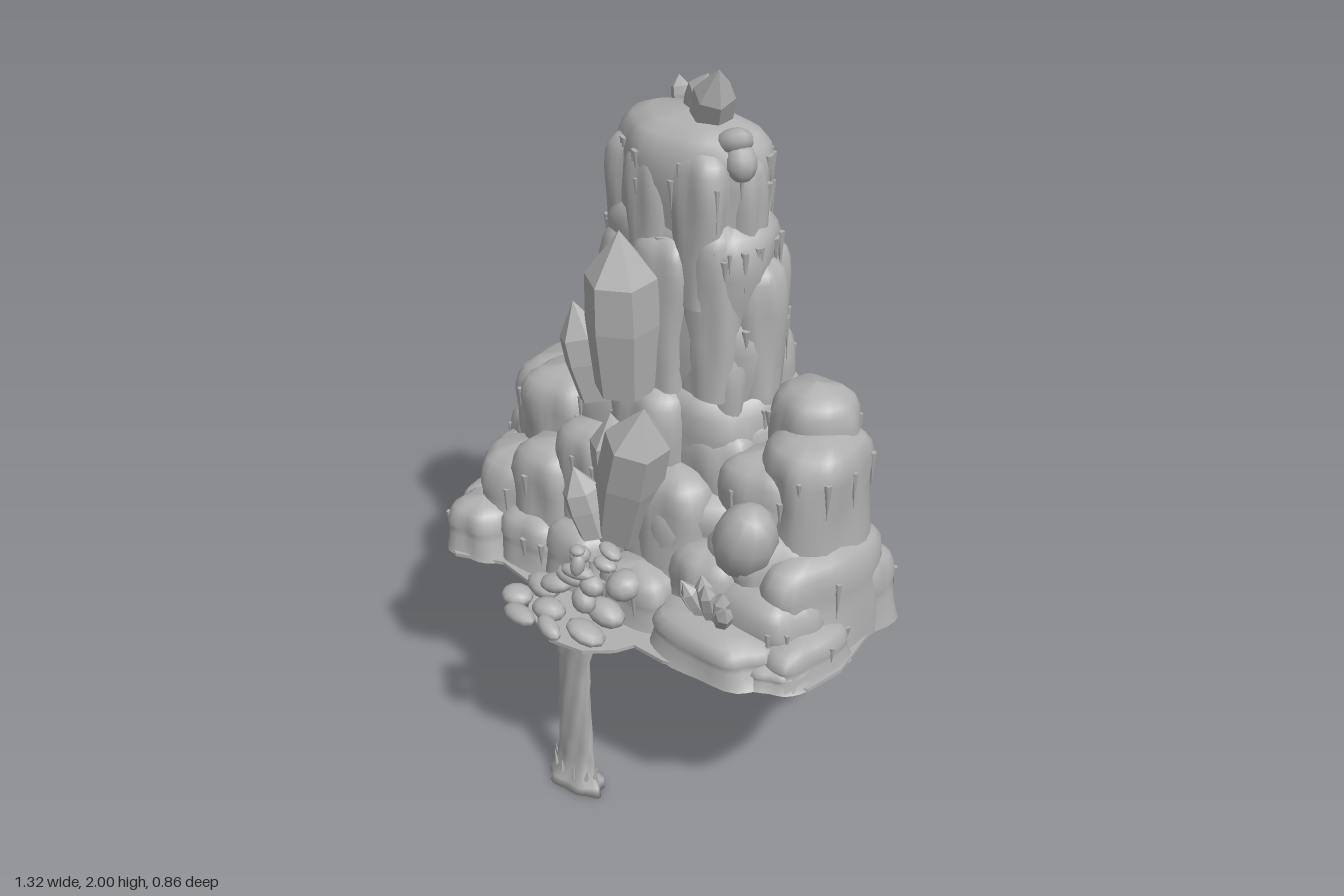
import * as THREE from 'three';
import { mergeGeometries } from 'three/addons/utils/BufferGeometryUtils.js';

const BASE = 0.535;

export function createModel() {
  const model = new THREE.Group();
  const stone = new THREE.MeshStandardMaterial({ color: 0xb0b0b0, side: THREE.DoubleSide });
  stone.name = 'grey stone';
  let seed = 7;
  const rand = (a = 0, b = 1) => {
    seed = (seed * 16807) % 2147483647;
    return a + (b - a) * (seed / 2147483647);
  };
  const add = (name, geo, parent = model) => {
    const mesh = new THREE.Mesh(geo, stone);
    mesh.name = name;
    parent.add(mesh);
    return mesh;
  };
  const group = (name) => {
    const g = new THREE.Group();
    g.name = name;
    model.add(g);
    return g;
  };

  // Lumpy column: rings stacked along a wall, closed by a rounded cap
  function loft(rings, sides, radius) {
    const pos = [], idx = [];
    rings.forEach(([r, y], i) => {
      for (let j = 0; j < sides; j++) {
        const a = (j / sides) * Math.PI * 2;
        const [x, z] = radius(a, y);
        pos.push(x * r, y, z * r);
        if (i === 0) continue;
        const n = (j + 1) % sides, lo = (i - 1) * sides, hi = i * sides;
        idx.push(lo + j, hi + j, lo + n, lo + n, hi + j, hi + n);
      }
    });
    const geo = new THREE.BufferGeometry();
    geo.setAttribute('position', new THREE.Float32BufferAttribute(pos, 3));
    geo.setIndex(idx);
    geo.computeVertexNormals();
    return geo;
  }

  const icicles = [];
  const mountain = group('mountain');
  const footed = [1.07, 1.02, 0.99, 0.95, 0.93], overhung = [0.88, 0.88, 0.9, 0.93, 0.97];
  function rock(name, x, z, rx, rz, y0, y1, drips = 4) {
    const p = rand(0, 6), q = rand(0, 6), h = y1 - y0, cap = Math.min(h * 0.45, 0.1);
    const radius = (a, y) => {
      const k = 1 + 0.05 * Math.sin(3 * a + p + y * 9) + 0.04 * Math.sin(5 * a + q - y * 16)
        + 0.02 * Math.sin(8 * a + p + q);
      const n = Math.pow(Math.abs(Math.cos(a)) ** 2.5 + Math.abs(Math.sin(a)) ** 2.5, -1 / 2.5);
      return [Math.cos(a) * n * k * rx, Math.sin(a) * n * k * rz];
    };
    // rocks on the ground spread at the foot, higher ones swell into a rim
    const wall = h - cap, flare = y0 > BASE ? overhung : footed;
    const rings = flare.map((r, i) => [r, wall * [0, 0.2, 0.4, 0.65, 0.85][i]]);
    rings.push([0.97, wall], [0.91, wall + cap * 0.4], [0.8, wall + cap * 0.65],
      [0.56, wall + cap * 0.87], [0, h]);
    add(name, loft(rings, 32, radius), mountain).position.set(x, y0, z);
    // drips hang from the shoulder of the rock
    for (let i = 0; i < drips; i++) {
      const a = rand(0, Math.PI * 2), [dx, dz] = radius(a, wall);
      const len = Math.min(rand(0.05, 0.13), wall * 0.8);
      icicles.push(new THREE.ConeGeometry(rand(0.006, 0.012), len, 5).rotateX(Math.PI)
        .translate(x + dx * 0.96, y0 + wall + 0.015 - len / 2, z + dz * 0.96));
    }
  }

  // Central peak: tiers ringed by bulging buttresses
  const tiers = [ // x, z, rx, rz, bottom, top, buttresses
    [0.03, -0.115, 0.235, 0.15, 1.4, 1.86, 7],
    [0.035, -0.13, 0.265, 0.175, 1.15, 1.65, 8],
    [0.0, -0.15, 0.31, 0.185, 0.95, 1.43, 8],
    [-0.01, -0.14, 0.335, 0.215, 0.7, 1.2, 9],
    [-0.01, -0.12, 0.42, 0.25, BASE, 0.94, 10],
  ];
  for (const [x, z, rx, rz, y0, y1, n] of tiers) {
    rock('peak tier', x, z, rx * 0.92, rz * 0.92, y0, y1, 18);
    for (let i = 0; i < n; i++) {
      const a = ((i + rand(-0.2, 0.2)) / n) * Math.PI * 2;
      const s = rand(0.3, 0.4);
      rock('peak buttress', x + Math.cos(a) * rx * 0.66, z + Math.sin(a) * rz * 0.68,
        rx * s, rz * s * 1.15, y0, y1 - rand(0.02, 0.13), 4);
    }
  }

  // Side shoulders, back cliffs and front foothills, all standing on the base
  const shoulders = [ // x, z, rx, rz, top
    [0.4, -0.18, 0.12, 0.1, 1.21], [0.455, -0.13, 0.125, 0.15, 1.12], [0.34, -0.07, 0.12, 0.12, 1.04],
    [0.5, -0.1, 0.11, 0.21, 0.84], [0.38, -0.1, 0.17, 0.22, 0.88], [0.52, -0.23, 0.095, 0.1, 0.76],
    [0.45, 0.05, 0.15, 0.11, 0.75], [0.57, 0.04, 0.075, 0.14, 0.65], [0.28, 0.06, 0.11, 0.11, 0.8],
    [0.33, -0.27, 0.17, 0.095, 0.84],
    [-0.42, -0.12, 0.135, 0.14, 1.03], [-0.34, -0.05, 0.13, 0.13, 1.05], [-0.49, -0.14, 0.12, 0.15, 0.86],
    [-0.51, -0.05, 0.1, 0.13, 0.78], [-0.58, -0.08, 0.07, 0.13, 0.65], [-0.52, -0.26, 0.1, 0.075, 0.7],
    [-0.36, -0.25, 0.17, 0.085, 0.82], [-0.41, 0.08, 0.12, 0.12, 0.83], [-0.45, 0.19, 0.095, 0.095, 0.69],
    [-0.27, 0.08, 0.12, 0.11, 0.9], [-0.29, 0.15, 0.11, 0.08, 0.7],
    [-0.13, -0.28, 0.15, 0.085, 0.87], [0.07, -0.3, 0.16, 0.09, 0.88], [0.07, -0.34, 0.12, 0.075, 0.74],
    [0.22, -0.3, 0.14, 0.085, 0.77],
    [-0.13, 0.05, 0.12, 0.11, 1.0], [0.12, 0.04, 0.13, 0.1, 0.96],
    [-0.12, 0.14, 0.11, 0.08, 0.73], [0.1, 0.15, 0.12, 0.08, 0.7],
  ];
  for (const [x, z, rx, rz, top] of shoulders) rock('shoulder rock', x, z, rx, rz, BASE, top);
  rock('low front mound', 0.37, 0.17, 0.19, 0.095, BASE, 0.66, 0);
  rock('low right mound', 0.55, 0.1, 0.085, 0.1, BASE, 0.6, 0);
  rock('low left mound', -0.57, 0.04, 0.075, 0.1, BASE, 0.62, 0);

  // Flat underside with a tongue reaching over the waterfall
  const outline = [[-0.66, -0.05], [-0.65, -0.16], [-0.6, -0.32], [-0.5, -0.35], [-0.2, -0.35],
    [-0.05, -0.41], [0.07, -0.43], [0.2, -0.4], [0.45, -0.36], [0.59, -0.3], [0.62, -0.15], [0.66, 0],
    [0.65, 0.12], [0.52, 0.21], [0.3, 0.28], [0.2, 0.28], [0.18, 0.33], [0.12, 0.39], [0.02, 0.41],
    [-0.11, 0.36], [-0.2, 0.26], [-0.33, 0.24], [-0.46, 0.3], [-0.54, 0.25], [-0.58, 0.14]];
  const slab = new THREE.Shape(outline.map(([x, z]) => new THREE.Vector2(x, -z)));
  add('base slab', new THREE.ExtrudeGeometry(slab, { depth: 0.01, bevelEnabled: false })
    .rotateX(-Math.PI / 2).translate(0, BASE, 0));

  // Waterfall with a splash foot
  const fall = group('waterfall');
  const stream = [[0, 0], [1.55, 0], [1.45, 0.025], [1.1, 0.05], [1, 0.1], [0.97, 0.14], [0.92, 0.18],
    [0.9, 0.24], [0.86, 0.3], [0.85, 0.36], [0.88, 0.42], [1.03, 0.46], [1.05, 0.5], [1.08, 0.54]];
  add('falling water', loft(stream, 32, (a, y) => {
    const k = 1 + 0.07 * Math.sin(7 * a + y * 24) + 0.06 * Math.sin(4 * a - y * 45);
    return [Math.cos(a) * 0.06 * k, Math.sin(a) * (y < 0.05 ? 0.033 : 0.027) * k];
  }), fall).position.z = 0.3;
  for (let i = 0; i < 10; i++) {
    const a = (i / 10) * Math.PI * 2;
    const drop = add('splash spike', new THREE.ConeGeometry(0.01, rand(0.04, 0.1), 5), fall);
    drop.position.set(Math.cos(a) * 0.07, 0.05, 0.3 + Math.sin(a) * 0.033);
    drop.rotation.z = -Math.cos(a) * 0.25;
  }

  // Rounded boulders
  function boulder(name, parent, [x, y, z, sx, sy, sz], tilt) {
    const m = add(name, new THREE.SphereGeometry(1, 10, 7), parent);
    m.position.set(x, y, z);
    m.scale.set(sx, sy, sz);
    m.rotation.set(rand(-0.2, 0.2), rand(-0.4, 0.4), tilt);
  }
  boulder('leaning boulder', mountain, [0.39, 0.85, 0.07, 0.085, 0.12, 0.085], -0.35);
  boulder('summit boulder', mountain, [0.19, 1.82, -0.09, 0.06, 0.035, 0.045], 0.5);
  boulder('summit boulder', mountain, [0.22, 1.78, -0.08, 0.045, 0.05, 0.04], 0.2);

  // Loose flat stones piled around the spring
  const pile = group('spring stones');
  const stones = [ // x, y, z, half sizes
    [-0.17, 0.56, 0.34, 0.045, 0.025, 0.04], [-0.1, 0.56, 0.4, 0.06, 0.024, 0.032],
    [0.0, 0.56, 0.39, 0.05, 0.022, 0.025], [0.09, 0.565, 0.345, 0.06, 0.025, 0.045],
    [-0.05, 0.57, 0.34, 0.05, 0.03, 0.04], [-0.13, 0.58, 0.28, 0.06, 0.03, 0.04],
    [0.08, 0.58, 0.26, 0.06, 0.035, 0.04], [-0.07, 0.62, 0.29, 0.05, 0.025, 0.035],
    [0.04, 0.62, 0.3, 0.04, 0.035, 0.03], [-0.02, 0.66, 0.28, 0.05, 0.025, 0.03],
    [0.06, 0.67, 0.29, 0.035, 0.03, 0.03], [0.02, 0.7, 0.3, 0.05, 0.02, 0.025],
    [0.03, 0.73, 0.31, 0.02, 0.035, 0.02], [0.09, 0.74, 0.27, 0.035, 0.018, 0.025],
    [0.03, 0.775, 0.31, 0.025, 0.014, 0.02], [0.09, 0.77, 0.25, 0.04, 0.016, 0.025],
    [-0.03, 0.7, 0.24, 0.025, 0.025, 0.03], [0.11, 0.66, 0.22, 0.05, 0.04, 0.05],
  ];
  for (const s of stones) boulder('stone', pile, s, rand(-0.25, 0.25));

  // Faceted crystals, each from a foot point to a tip
  const crystals = group('crystals');
  function crystal(name, foot, tip, r, shoulder = 0.66) {
    const a = new THREE.Vector3(...foot), d = new THREE.Vector3(...tip).sub(a), h = d.length();
    const pts = [[0, 0], [0.82, 0], [1, shoulder * 0.6], [0.96, shoulder], [0, 1]]
      .map(([u, v]) => new THREE.Vector2(u * r, v * h));
    const geo = new THREE.LatheGeometry(pts, 6).toNonIndexed();
    geo.computeVertexNormals();
    const m = add(name, geo, crystals);
    m.position.copy(a);
    m.quaternion.setFromUnitVectors(new THREE.Vector3(0, 1, 0), d.normalize());
  }
  crystal('great crystal', [-0.01, 1.15, 0.085], [0, 1.6, 0.115], 0.098, 0.72);
  crystal('left crystal', [-0.13, 1.07, 0.06], [-0.2, 1.33, 0.08], 0.065);
  crystal('lower crystal', [0.0, 0.74, 0.12], [0.13, 1.17, 0.165], 0.09, 0.75);
  crystal('lower left crystal', [-0.02, 0.74, 0.1], [-0.03, 1.08, 0.12], 0.065, 0.75);
  crystal('small lower crystal', [-0.03, 0.74, 0.18], [-0.09, 0.93, 0.2], 0.055);
  crystal('summit crystal', [0.05, 1.78, -0.15], [0.155, 2.0, -0.07], 0.055);
  crystal('summit crystal', [0.04, 1.8, -0.2], [0.03, 1.91, -0.22], 0.04);
  crystal('summit crystal', [0, 1.82, -0.16], [0.06, 1.95, -0.14], 0.04);
  crystal('summit crystal', [-0.06, 1.82, -0.18], [-0.08, 1.9, -0.19], 0.025);
  for (let i = 0; i < 6; i++) {
    const t = (i - 2.5) / 2.5;
    crystal('crystal sprout', [0.36 + t * 0.03, 0.63, 0.16],
      [0.36 + t * 0.09, 0.79 - Math.abs(t) * 0.06, 0.18 + (i % 2) * 0.03], 0.024, 0.75);
  }

  // Icicles and drips hanging from the ledges
  add('icicles', mergeGeometries(icicles));
  return model;
}
